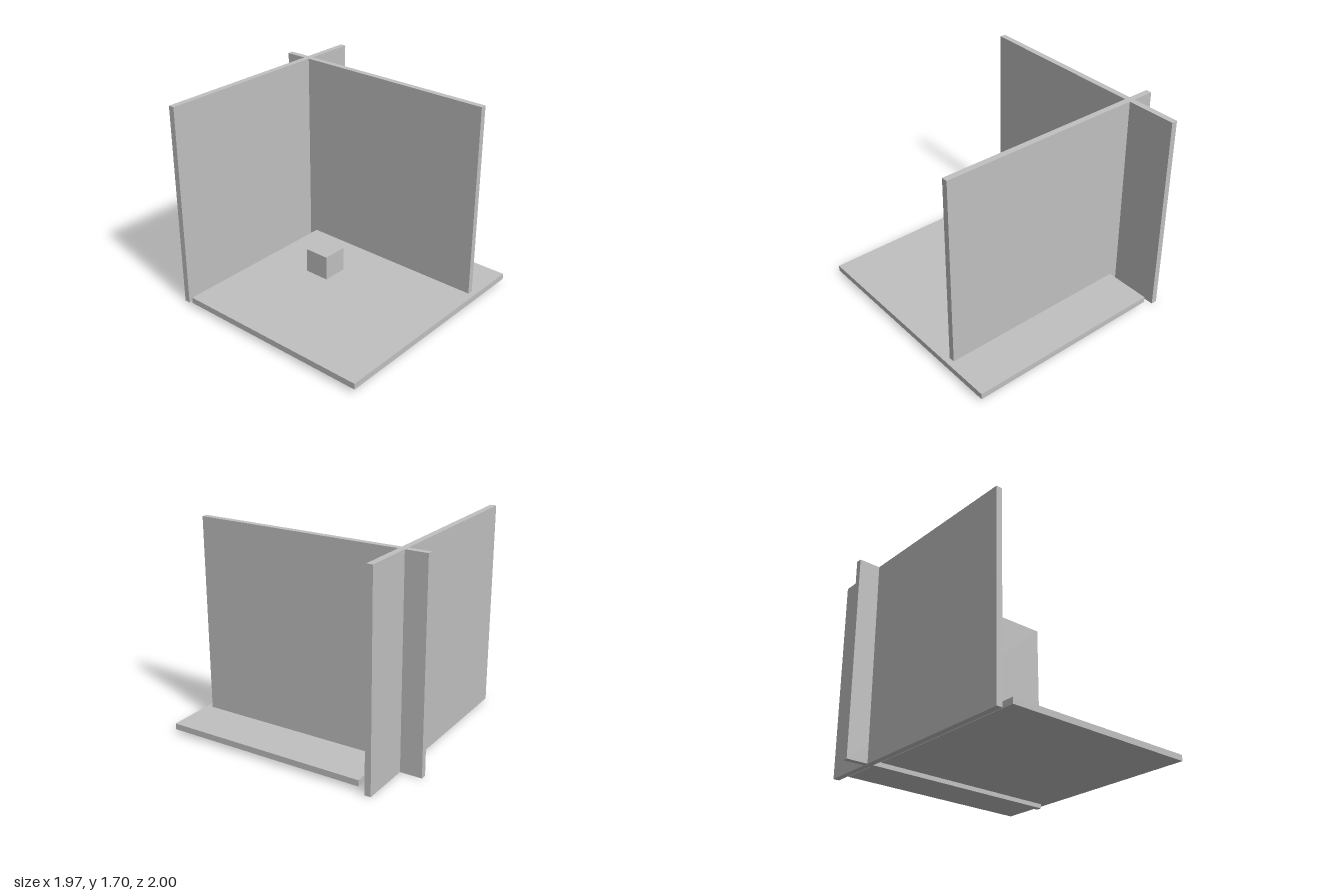
import * as THREE from 'three';

export function createModel() {
  const model = new THREE.Group();
  const grey = new THREE.MeshStandardMaterial({ color: 0xc0c0c0 });
  grey.name = 'lightGrey';

  // Box spanning two opposite corners
  const addBox = (name, min, max) => {
    const size = max.map((v, i) => v - min[i]);
    const mesh = new THREE.Mesh(new THREE.BoxGeometry(...size), grey);
    mesh.position.set(...max.map((v, i) => (v + min[i]) / 2));
    mesh.name = name;
    model.add(mesh);
  };

  // Two upright panels that cross near the back
  addBox('backWall', [-0.963, 0, -0.818], [0.987, 1.7, -0.768]);
  addBox('sideWall', [0.513, 0, -1], [0.563, 1.7, 0.95]);

  // Floor slab, slightly raised, with a small cube resting on it
  addBox('floor', [-0.987, 0.037, -0.7], [0.96, 0.087, 1]);
  addBox('cube', [-0.074, 0.08, -0.282], [0.144, 0.296, -0.064]);

  return model;
}
